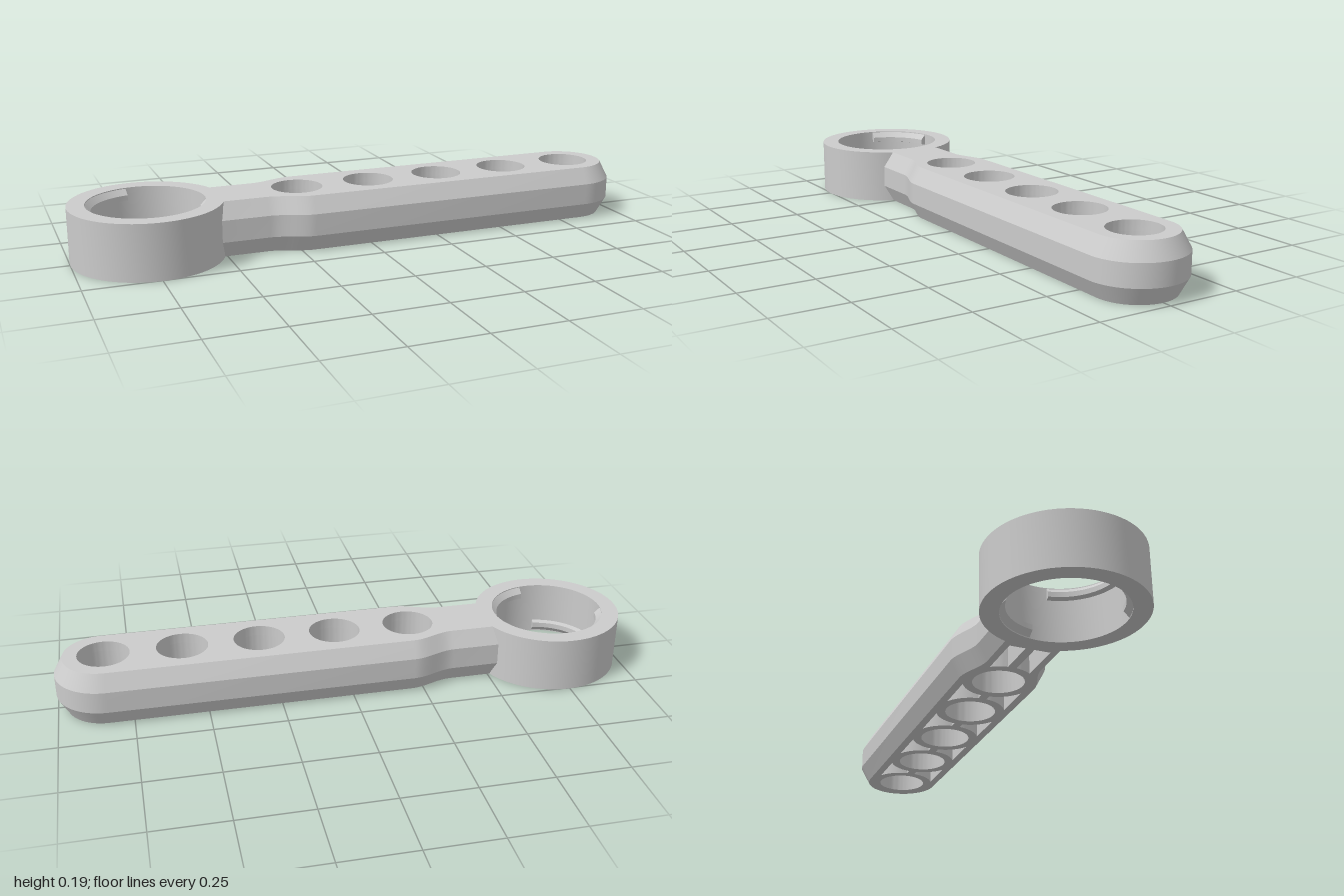
import * as THREE from 'three';
import { toCreasedNormals } from 'three/addons/utils/BufferGeometryUtils.js';

const H = 0.19;            // overall height
const RING_X = -0.745, RING_OUT = 0.255, RING_IN = 0.196;
const HOLES = [-0.224, 0.04, 0.304, 0.568, 0.832];
const HOLE_R = 0.088, TUBE_R = 0.12, PLATE = 0.035;
const INSET = 0.031;       // chamfer width

const material = new THREE.MeshStandardMaterial({ color: 0xcccccc, side: THREE.DoubleSide });

function addMesh(parent, name, geometry) {
  const mesh = new THREE.Mesh(toCreasedNormals(geometry, 0.4), material);
  mesh.name = name;
  parent.add(mesh);
  return mesh;
}

// Half of the arm outline (narrow neck, S-curve, round end), mirrored into a full loop
function armOutline(inset) {
  const half = [[-0.525, 0.125 - inset]];
  for (let i = 0; i <= 12; i++) {
    const t = i / 12;
    half.push([-0.36 + 0.15 * t, 0.125 + 0.04 * t * t * (3 - 2 * t) - inset]);
  }
  for (let i = 0; i <= 16; i++) {
    const a = Math.PI / 2 * (1 - i / 16), r = 0.165 - inset;
    half.push([0.835 + r * Math.cos(a), r * Math.sin(a)]);
  }
  const mirror = half.slice(0, -1).reverse().map(([x, z]) => [x, -z]);
  return [...half, ...mirror].map(([x, z]) => new THREE.Vector2(x, z));
}

// Chamfered side wall lofted through four levels
function armSkin() {
  const levels = [[0, INSET], [0.058, 0], [0.133, 0], [H, INSET]];
  const loops = levels.map(([y, inset]) => armOutline(inset).map(p => new THREE.Vector3(p.x, y, p.y)));
  const pos = [];
  for (let k = 0; k < 3; k++) {
    for (let i = 0; i < loops[0].length - 1; i++) {
      const a = loops[k][i], b = loops[k][i + 1], c = loops[k + 1][i + 1], d = loops[k + 1][i];
      for (const p of [a, b, c, a, c, d]) pos.push(p.x, p.y, p.z);
    }
  }
  // Outline runs clockwise seen from below, so reverse each triangle to face outwards
  for (let i = 0; i < pos.length; i += 9) {
    for (let j = 0; j < 3; j++) [pos[i + j], pos[i + 3 + j]] = [pos[i + 3 + j], pos[i + j]];
  }
  const g = new THREE.BufferGeometry();
  g.setAttribute('position', new THREE.Float32BufferAttribute(pos, 3));
  return g;
}

// Points of a tube's outer wall between two heights z0..z1, on side dir (+1 or -1)
function tubeEdge(cx, dir, z0, z1) {
  const pts = [];
  for (let i = 0; i <= 8; i++) {
    const z = z0 + (z1 - z0) * i / 8;
    pts.push([cx + dir * Math.sqrt(TUBE_R * TUBE_R - z * z), z]);
  }
  return pts;
}

// Hollows open to the underside, both sides of a central rib
function pockets() {
  const list = [];
  for (let i = 0; i < HOLES.length - 1; i++) {
    list.push([...tubeEdge(HOLES[i], 1, 0.015, 0.106), ...tubeEdge(HOLES[i + 1], -1, 0.106, 0.015)]);
  }
  list.push([[-0.485, 0.015], ...tubeEdge(HOLES[0], -1, 0.015, 0.07), [-0.485, 0.07]]);
  return list.flatMap(pts => [1, -1].map(s =>
    new THREE.Path(pts.map(([x, z]) => new THREE.Vector2(x, z * s)))));
}

function armSlab(depth, y, extraHoles) {
  const shape = new THREE.Shape(armOutline(INSET));
  const round = HOLES.map(x => new THREE.Path().absarc(x, 0, HOLE_R, 0, Math.PI * 2, true));
  shape.holes.push(...round, ...extraHoles);
  return new THREE.ExtrudeGeometry(shape, { depth, bevelEnabled: false, curveSegments: 40 })
    .rotateX(-Math.PI / 2).translate(0, y, 0);
}

export function createModel() {
  const model = new THREE.Group();
  model.name = 'ringEndedArm';

  // Arm: chamfered wall, pierced top plate, ribbed hollow underside
  const arm = new THREE.Group();
  arm.name = 'arm';
  addMesh(arm, 'armWall', armSkin());
  addMesh(arm, 'topPlate', armSlab(PLATE, H - PLATE, []));
  addMesh(arm, 'ribbedUnderside', armSlab(H - PLATE, 0, pockets()));
  model.add(arm);

  // Ring with a plain cylindrical bore
  const ring = new THREE.Group();
  ring.name = 'ring';
  ring.position.x = RING_X;
  const section = [[RING_IN, 0], [RING_OUT, 0], [RING_OUT, H], [RING_IN, H], [RING_IN, 0]];
  addMesh(ring, 'ringBody', new THREE.LatheGeometry(section.map(p => new THREE.Vector2(...p)), 72));

  // Four catches in the bore, alternating between the top and bottom rim
  const catchSection = [[RING_IN + 0.004, 0.145], [0.178, 0.15], [0.178, 0.168], [RING_IN, 0.187], [RING_IN + 0.004, 0.187]];
  const gap = 0.16;
  for (let i = 0; i < 4; i++) {
    const pts = catchSection.map(([r, y]) => new THREE.Vector2(r, i % 2 ? H - y : y));
    const start = i * Math.PI / 2 + gap, length = Math.PI / 2 - 2 * gap;
    const tab = new THREE.Group();
    tab.name = i % 2 ? 'lowerCatch' : 'upperCatch';
    addMesh(tab, 'catchRidge', new THREE.LatheGeometry(pts, 16, start, length));
    for (const phi of [start, start + length]) {
      addMesh(tab, 'catchEnd', new THREE.ShapeGeometry(new THREE.Shape(pts)).rotateY(phi - Math.PI / 2));
    }
    ring.add(tab);
  }
  model.add(ring);
  return model;
}
